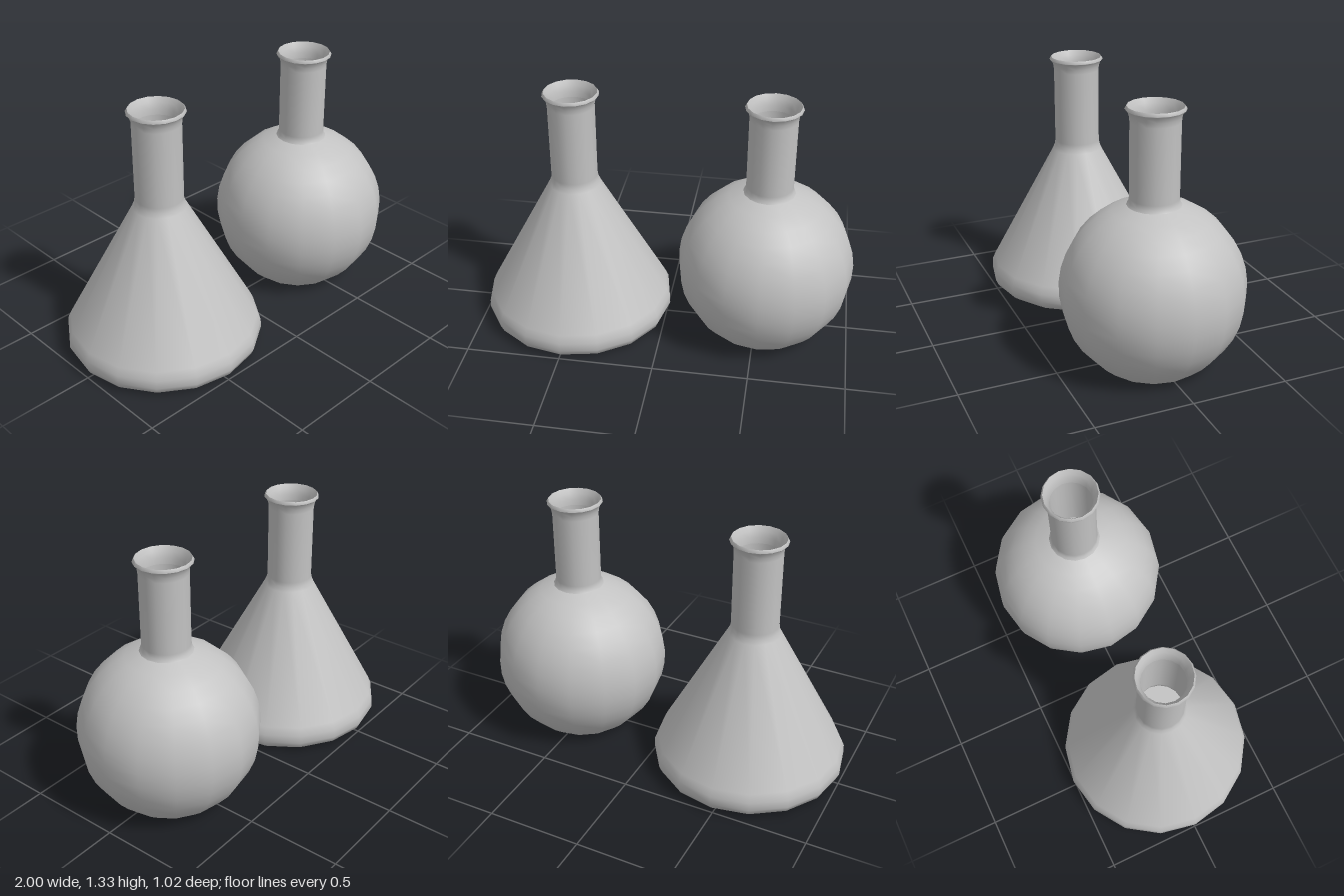
import * as THREE from 'three';

const SIDES = 16;

// One smooth lathed section; edges between sections stay sharp.
function section(name, points, material) {
  const profile = points.map(([r, y]) => new THREE.Vector2(r, y));
  const mesh = new THREE.Mesh(new THREE.LatheGeometry(profile, SIDES), material);
  mesh.name = name;
  return mesh;
}

// Flared lip and hollow interior shared by both flasks.
function addMouth(flask, inner, floorRadius, material) {
  const floorY = 0.015;
  flask.add(
    section('lip', [[0.14, 1.306], [0.146, 1.31], [0.137, 1.325]], material),
    section('mouthFunnel', [[0.137, 1.325], [0.122, 1.30], [0.112, 1.27], [0.109, 1.24]], material),
    section('innerWall', [[0.109, 1.24], ...inner, [floorRadius, floorY]], material),
    section('innerFloor', [[floorRadius, floorY], [0, floorY]], material)
  );
}

// Neck profile from its foot up to the underside of the lip.
const neckTop = [[0.122, 1.25], [0.125, 1.275], [0.132, 1.295], [0.14, 1.306]];

function conicalFlask(material) {
  const flask = new THREE.Group();
  flask.name = 'conicalFlask';
  flask.add(
    section('base', [[0, 0], [0.46, 0]], material),
    section('coneBodyAndNeck', [
      [0.46, 0], [0.495, 0.026], [0.51, 0.06], [0.508, 0.105], [0.49, 0.146],
      [0.136, 0.80], [0.126, 0.825], [0.122, 0.85], ...neckTop
    ], material)
  );
  addMouth(flask, [[0.109, 0.85], [0.118, 0.80], [0.475, 0.14], [0.492, 0.07]], 0.46, material);
  return flask;
}

function roundFlask(material) {
  const flask = new THREE.Group();
  flask.name = 'roundFlask';
  const R = 0.466, centerY = 0.39, steps = 13;
  const start = -Math.acos(0.262 / R), end = Math.acos(0.135 / R);
  // Arc of the bulb, from its flat foot up to the neck
  const arc = (radius) => Array.from({ length: steps + 1 }, (_, i) => {
    const a = start + (end - start) * i / steps;
    return [radius * Math.cos(a), centerY + radius * Math.sin(a)];
  });
  const bulb = arc(R);
  bulb[0][1] = 0;
  flask.add(
    section('base', [[0, 0], [bulb[0][0], 0]], material),
    section('bulb', bulb, material),
    section('neck', [bulb[steps], [0.126, 0.85], [0.122, 0.872], ...neckTop], material)
  );
  const inner = arc(R - 0.015).reverse().slice(0, -1);
  addMouth(flask, [[0.109, 0.86], ...inner], 0.25, material);
  return flask;
}

export function createModel() {
  const grey = new THREE.MeshStandardMaterial({ color: 0xc2c2c2 });
  grey.name = 'grey';

  const model = new THREE.Group();
  model.name = 'flasks';
  const cone = conicalFlask(grey);
  cone.position.x = -0.49;
  const round = roundFlask(grey);
  round.position.x = 0.534;
  model.add(cone, round);
  return model;
}
